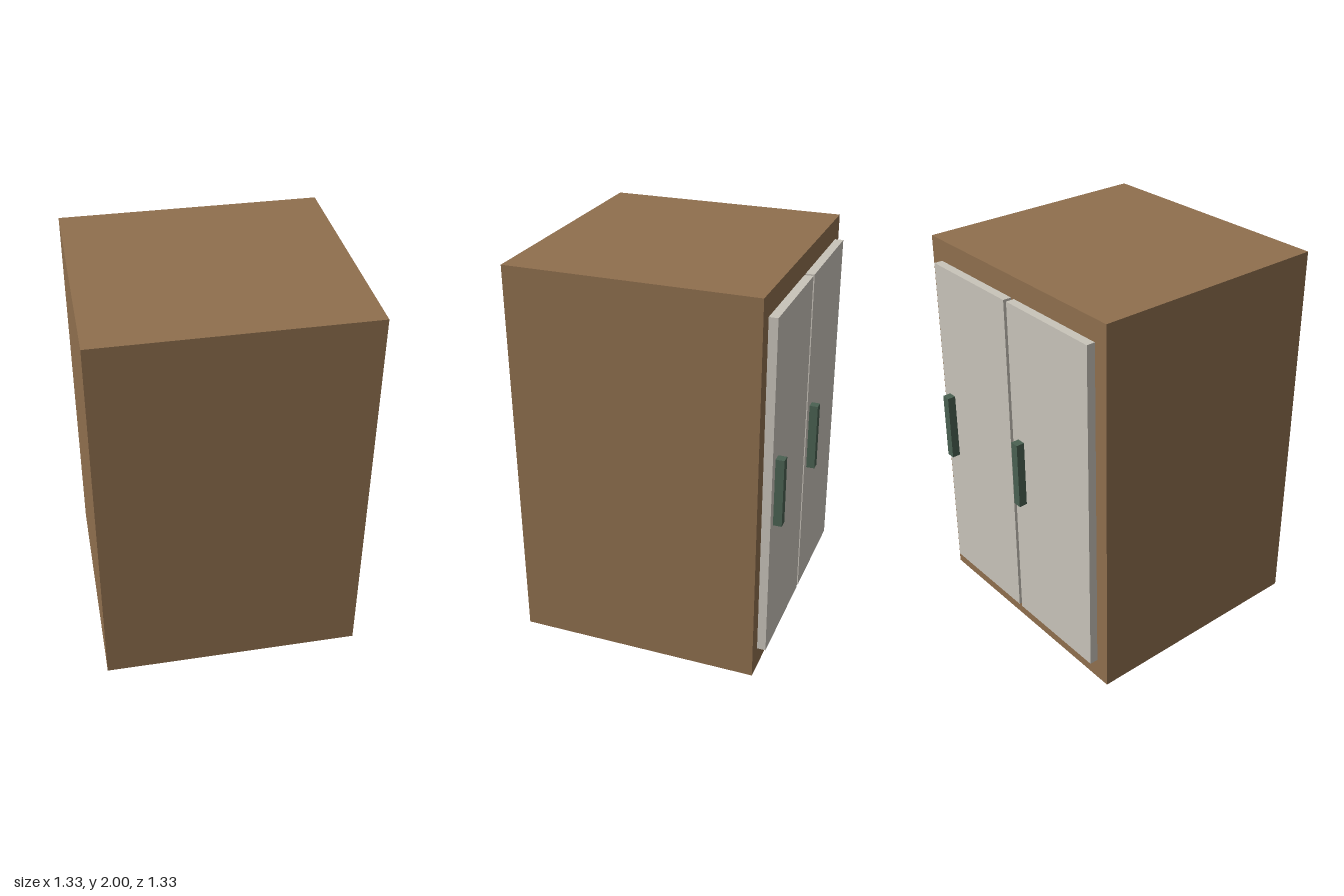
import * as THREE from 'three';

const wood = new THREE.MeshStandardMaterial({ color: 0x8f6f4e });
const panel = new THREE.MeshStandardMaterial({ color: 0xc9c4ba });
const metal = new THREE.MeshStandardMaterial({ color: 0x4a6152 });

// Box given by its extents along each axis
function box(name, material, [x0, x1], [y0, y1], [z0, z1]) {
  const mesh = new THREE.Mesh(new THREE.BoxGeometry(x1 - x0, y1 - y0, z1 - z0), material);
  mesh.position.set((x0 + x1) / 2, (y0 + y1) / 2, (z0 + z1) / 2);
  mesh.name = name;
  return mesh;
}

export function createModel() {
  const group = new THREE.Group();
  group.name = 'cabinet';

  // Solid carcass
  group.add(box('cabinetBody', wood, [-0.667, 0.667], [0, 2], [-0.58, 0.667]));

  // Two doors on the back face, each with its handle near the +x edge
  for (const [side, x] of [['right', -0.592], ['left', 0.01]]) {
    const door = new THREE.Group();
    door.name = side + 'Door';
    door.add(
      box(side + 'DoorPanel', panel, [x, x + 0.58], [0.113, 1.89], [-0.624, -0.58]),
      box(side + 'DoorHandle', metal, [x + 0.491, x + 0.536], [0.825, 1.18], [-0.667, -0.624])
    );
    group.add(door);
  }
  return group;
}
